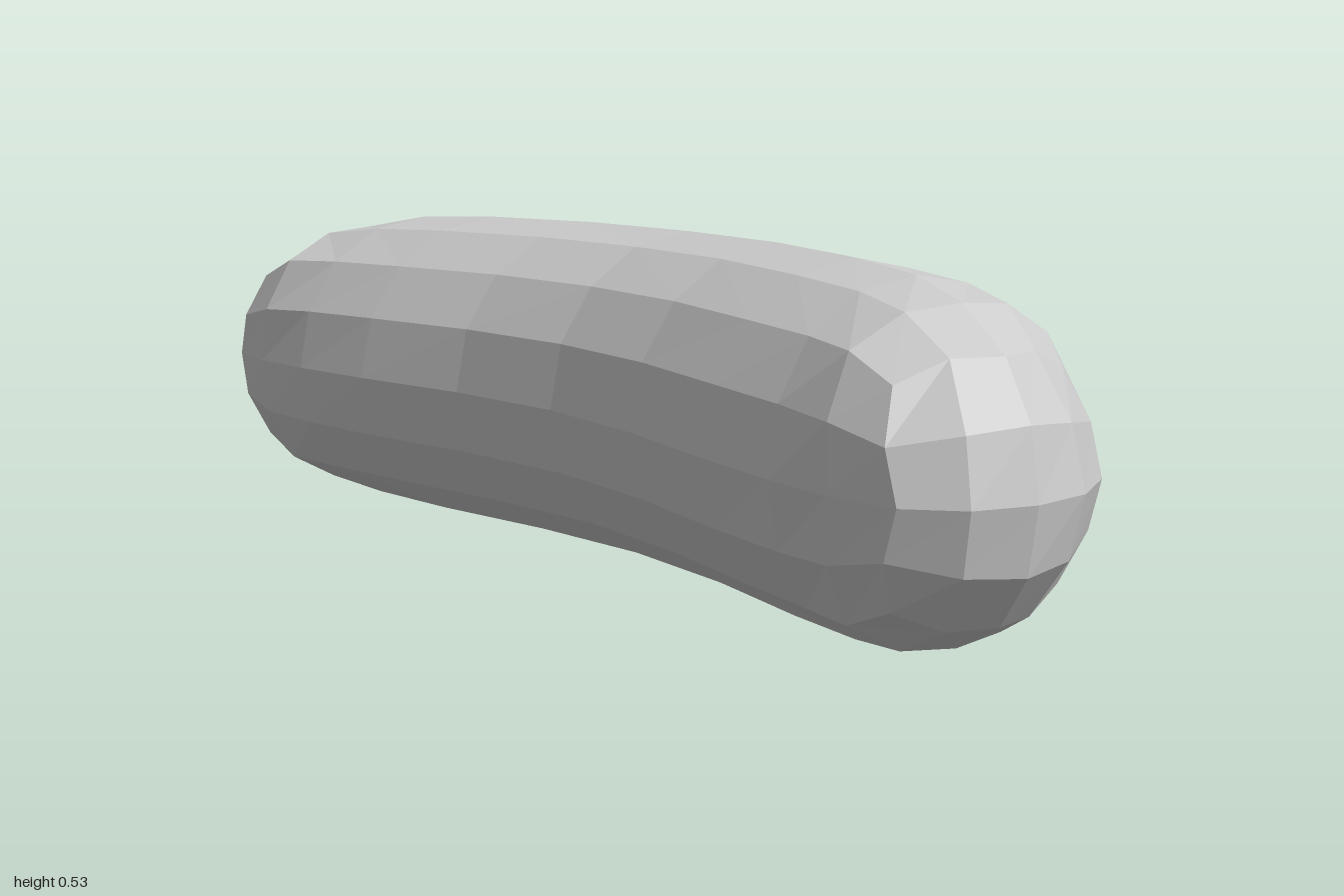
import * as THREE from 'three';

// Cross-sections from the middle to the tip:
// [centre x, radius x, radius y, z, extra corner radius, corner setback]
const SECTIONS = [
  [0.051, 0.264, 0.267, 0, 0, 0],
  [0.033, 0.267, 0.267, 0.25, 0, 0],
  [-0.015, 0.265, 0.264, 0.49, 0, 0],
  [-0.052, 0.253, 0.255, 0.667, 0.005, 0.005],
  [-0.09, 0.225, 0.231, 0.8, 0.022, 0.02],
  // rounded tip: rim, inner ring, centre
  [-0.121, 0.178, 0.175, 0.915, 0.03, 0.046],
  [-0.137, 0.098, 0.097, 0.98, 0.03, 0.02],
  [-0.14, 0, 0, 1, 0, 0],
];
const HALF = 5; // steps from the middle to the tip rim

// Curved, rounded body: a 4 x 4 sided box whose square rings become round sections
function bodyGeometry() {
  const box = new THREE.BoxGeometry(4, 4, 2 * HALF, 4, 4, 2 * HALF);
  const pos = box.attributes.position;
  for (let n = 0; n < pos.count; n++) {
    const i = Math.round(pos.getX(n));
    const j = Math.round(pos.getY(n));
    const k = Math.round(pos.getZ(n));
    const ring = Math.max(Math.abs(i), Math.abs(j));
    const level = Math.abs(k) < HALF ? Math.abs(k) : HALF + 2 - ring;
    const [cx, rx, ry, z, bulge, setback] = SECTIONS[level];

    // square ring position to angle
    let angle = 0;
    if (ring > 0) {
      angle = Math.abs(i) >= Math.abs(j)
        ? (Math.PI / 4) * (j / i) + (i < 0 ? Math.PI : 0)
        : Math.PI / 2 - (Math.PI / 4) * (i / j) + (j < 0 ? Math.PI : 0);
    }
    const corner = Math.sin(2 * angle) ** 2;
    pos.setXYZ(
      n,
      cx + (rx + bulge * corner) * Math.cos(angle),
      0.267 + (ry + bulge * corner) * Math.sin(angle),
      Math.sign(k) * (z - setback * corner)
    );
  }
  const geometry = box.toNonIndexed();
  geometry.computeVertexNormals();
  return geometry;
}

export function createModel() {
  const group = new THREE.Group();
  group.name = 'sausage';
  const material = new THREE.MeshStandardMaterial({ color: 0xcccccc, flatShading: true });
  const body = new THREE.Mesh(bodyGeometry(), material);
  body.name = 'curvedBody';
  group.add(body);
  return group;
}
